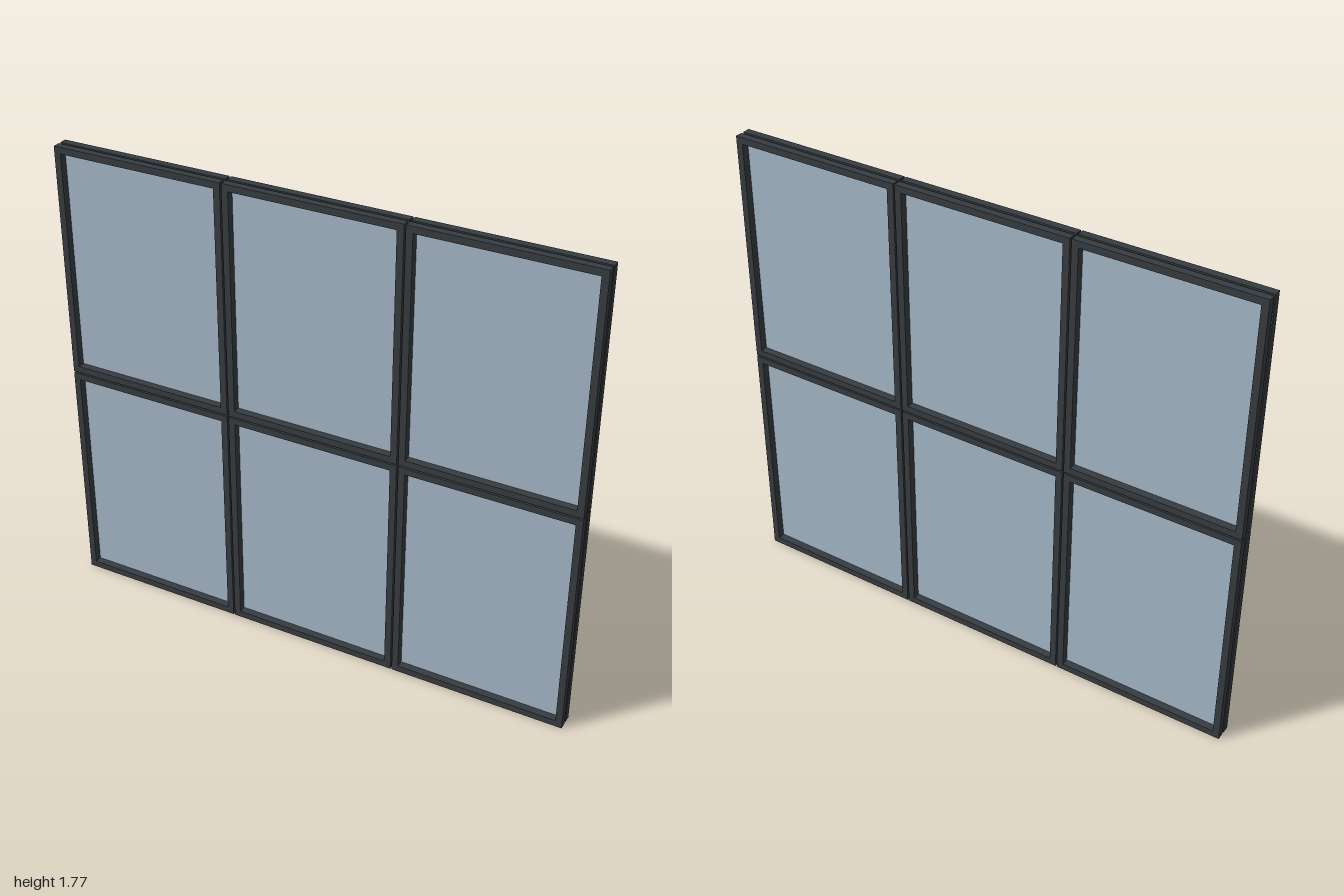
import * as THREE from 'three';

const COLS = 3, ROWS = 2;
const WIDTH = 2, HEIGHT = 1.775, GAP = 0.006;
const BAR = 0.025, HALF_DEPTH = 0.033, HALF_GROOVE = 0.005, GROOVE_DEPTH = 0.007;

// Rectangular ring centred on the origin, running from z0 to z1
function ringGeometry(w, h, bar, z0, z1) {
  const rect = (path, a, b) => path
    .moveTo(-a, -b).lineTo(a, -b).lineTo(a, b).lineTo(-a, b).closePath();
  const shape = new THREE.Shape();
  rect(shape, w / 2, h / 2);
  const hole = new THREE.Path();
  rect(hole, w / 2 - bar, h / 2 - bar);
  shape.holes.push(hole);
  const geometry = new THREE.ExtrudeGeometry(shape, { depth: z1 - z0, bevelEnabled: false });
  return geometry.translate(0, 0, z0);
}

export function createModel() {
  const model = new THREE.Group();
  model.name = 'windowWall';
  const frameMaterial = new THREE.MeshStandardMaterial({ color: 0x373c40 });
  const glassMaterial = new THREE.MeshStandardMaterial({ color: 0xa6b8c8 });

  const w = (WIDTH - GAP * (COLS - 1)) / COLS;
  const h = (HEIGHT - GAP * (ROWS - 1)) / ROWS;
  const inset = 2 * GROOVE_DEPTH;

  // Two frame rings with a recessed core form the grooved edge
  const parts = [
    ['frontFrame', ringGeometry(w, h, BAR, HALF_GROOVE, HALF_DEPTH), frameMaterial],
    ['backFrame', ringGeometry(w, h, BAR, -HALF_DEPTH, -HALF_GROOVE), frameMaterial],
    ['frameCore', ringGeometry(w - inset, h - inset, BAR - GROOVE_DEPTH,
      -HALF_GROOVE, HALF_GROOVE), frameMaterial],
    ['glassPane', new THREE.BoxGeometry(w - 2 * BAR, h - 2 * BAR, 2 * HALF_GROOVE), glassMaterial],
  ];

  // Grid of identical panels separated by narrow gaps
  for (let row = 0; row < ROWS; row++) {
    for (let col = 0; col < COLS; col++) {
      const panel = new THREE.Group();
      panel.name = `panelRow${row + 1}Column${col + 1}`;
      panel.position.set((col - (COLS - 1) / 2) * (w + GAP), h / 2 + row * (h + GAP), 0);
      for (const [name, geometry, material] of parts) {
        const mesh = new THREE.Mesh(geometry, material);
        mesh.name = name;
        panel.add(mesh);
      }
      model.add(panel);
    }
  }
  return model;
}
